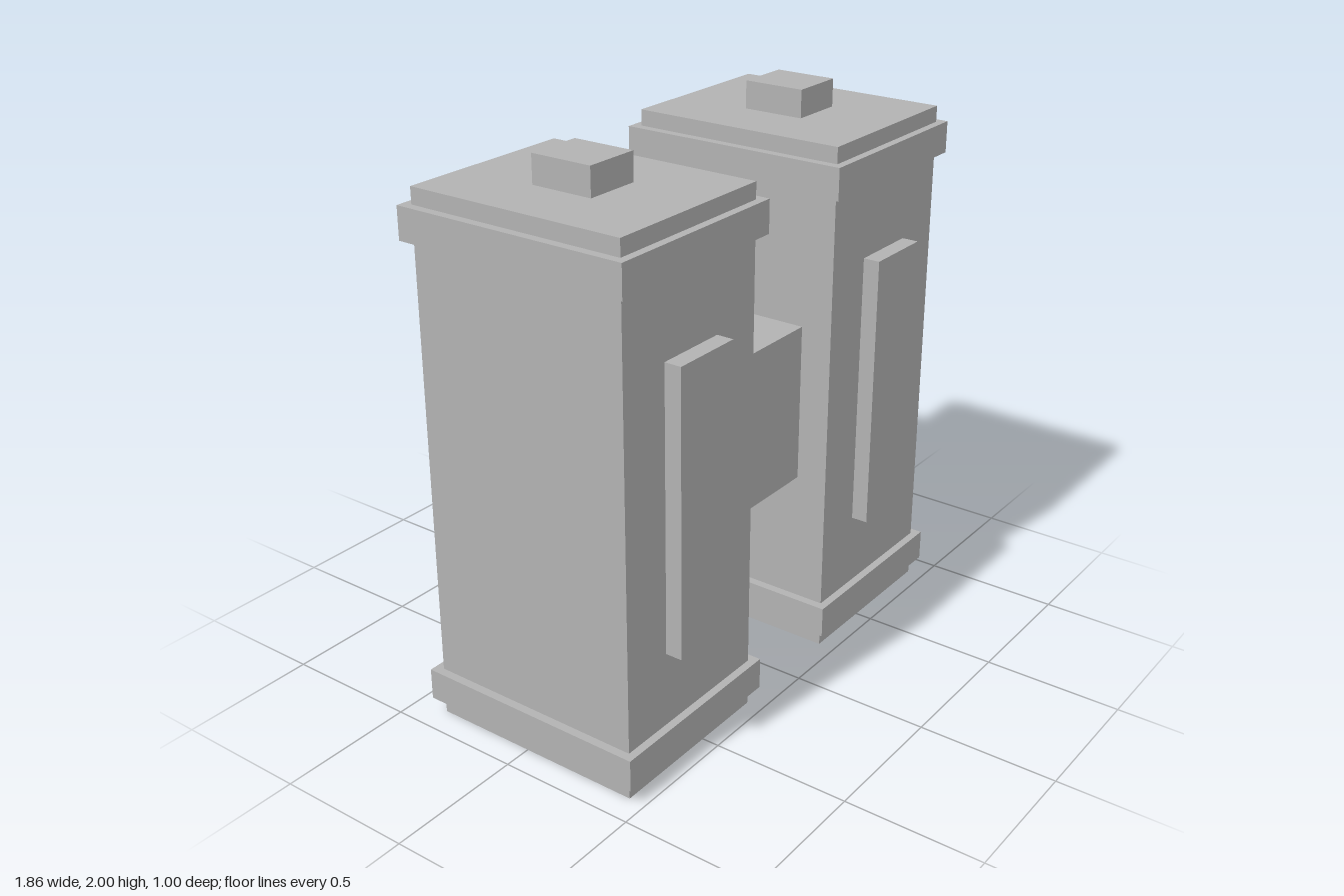
import * as THREE from 'three';

const grey = new THREE.MeshStandardMaterial({ color: 0xb2b2b2 });
grey.name = 'grey';

// Box given by its extents along x, y and z
function block(name, [x0, x1], [y0, y1], [z0, z1]) {
  const mesh = new THREE.Mesh(new THREE.BoxGeometry(x1 - x0, y1 - y0, z1 - z0), grey);
  mesh.position.set((x0 + x1) / 2, (y0 + y1) / 2, (z0 + z1) / 2);
  mesh.name = name;
  return mesh;
}

// One tower, mirrored by side (+1 left, -1 right)
function createTower(side) {
  const tower = new THREE.Group();
  tower.name = side > 0 ? 'leftTower' : 'rightTower';
  const add = (name, [x0, x1], y, z) =>
    tower.add(block(name, side > 0 ? [x0, x1] : [-x1, -x0], y, z));

  add('towerBody', [0.235, 0.9], [0, 1.9], [-0.375, 0.437]);
  add('lowerBand', [0.203, 0.931], [0.06, 0.175], [-0.407, 0.466]);
  add('upperBand', [0.203, 0.931], [1.728, 1.842], [-0.407, 0.466]);
  add('topKnob', [0.466, 0.67], [1.88, 2], [-0.087, 0.143]);
  add('frontPanel', [0.435, 0.702], [0.445, 1.46], [0.42, 0.498]);
  add('backPanel', [0.382, 0.759], [0.15, 1.753], [-0.498, -0.36]);
  return tower;
}

export function createModel() {
  const model = new THREE.Group();
  model.name = 'twinTowers';
  for (const side of [1, -1]) model.add(createTower(side));
  // Block joining the towers
  model.add(block('connector', [-0.26, 0.26], [0.66, 1.242], [-0.267, 0.32]));
  return model;
}
